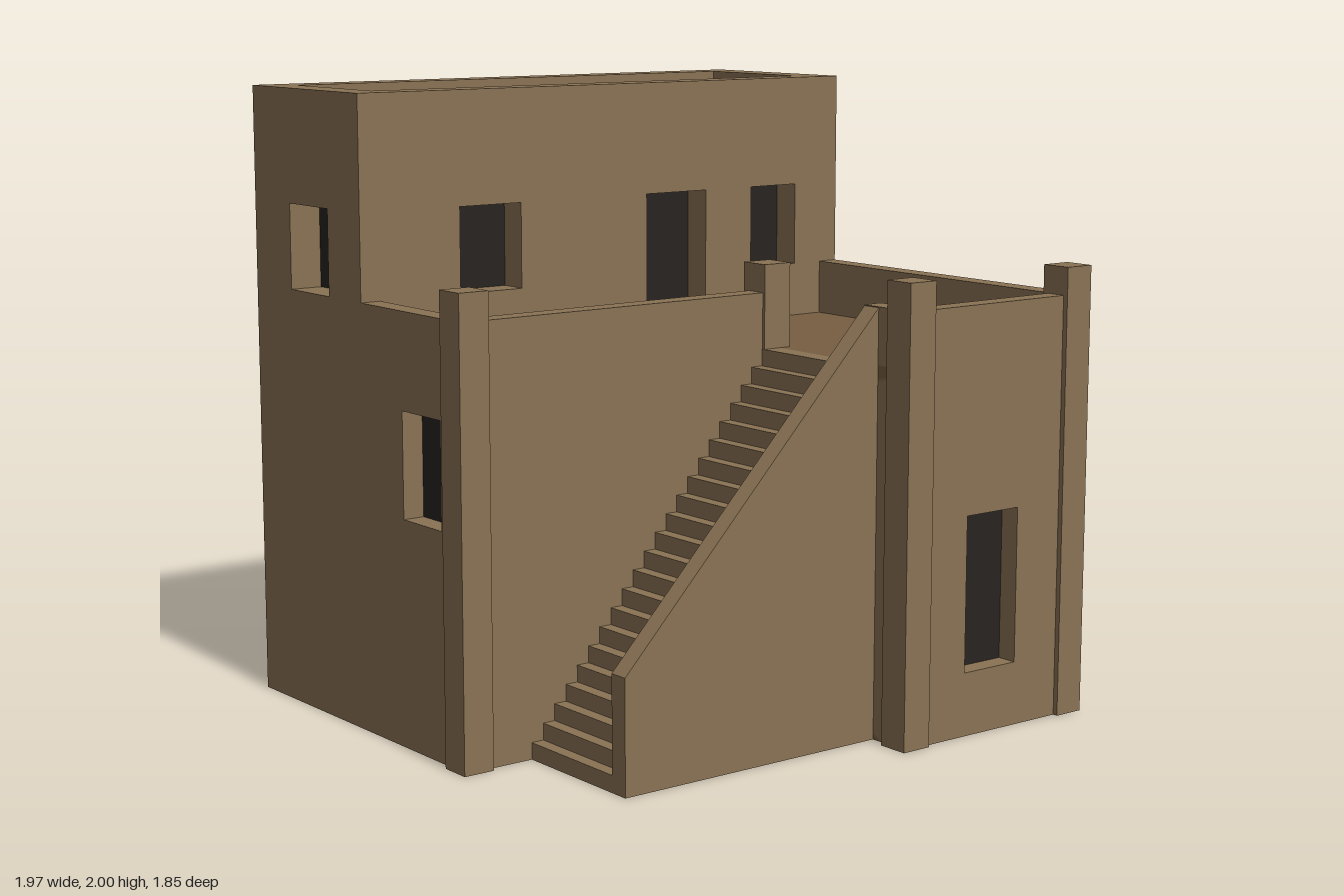
import * as THREE from 'three';

const clay = new THREE.MeshStandardMaterial({ color: 0x8a7354 });
const floorClay = new THREE.MeshStandardMaterial({ color: 0x775e42 });
const dark = new THREE.MeshStandardMaterial({ color: 0x282420 });

export function createModel() {
  const model = new THREE.Group();

  function add(name, geometry, material) {
    const mesh = new THREE.Mesh(geometry, material);
    mesh.name = name;
    model.add(mesh);
    return mesh;
  }

  // Box given by its limits on each axis
  function block(name, x0, x1, y0, y1, z0, z1, material = clay) {
    const mesh = add(name, new THREE.BoxGeometry(x1 - x0, y1 - y0, z1 - z0), material);
    mesh.position.set((x0 + x1) / 2, (y0 + y1) / 2, (z0 + z1) / 2);
  }

  const polygon = (points) => new THREE.Shape(points.map(([x, y]) => new THREE.Vector2(x, y)));
  const rectangle = (u0, u1, y0, y1) => [[u0, y0], [u1, y0], [u1, y1], [u0, y1]];

  // Outline in x and y, extruded from z0 to z1
  function prism(name, shape, z0, z1) {
    const geometry = new THREE.ExtrudeGeometry(shape, { depth: z1 - z0, bevelEnabled: false });
    add(name, geometry, clay).position.z = z0;
  }

  // Wall facing front, with openings [x0, x1, y0, y1] backed by dark panes
  function frontWall(name, x0, x1, y0, y1, z0, z1, openings) {
    const shape = polygon(rectangle(x0, x1, y0, y1));
    for (const o of openings) {
      shape.holes.push(polygon(rectangle(...o).reverse()));
      block(name + 'Pane', o[0] - 0.01, o[1] + 0.01, o[2] - 0.01, o[3] + 0.01, z0 - 0.02, z0, dark);
    }
    prism(name, shape, z0, z1);
  }

  // Wall facing sideways, with one opening [z0, z1, y0, y1] and a dark pane inside
  function sideWall(name, side, thickness, z0, z1, y1, o) {
    const shape = polygon(rectangle(-z1, -z0, 0, y1));
    shape.holes.push(polygon(rectangle(-o[1], -o[0], o[2], o[3]).reverse()));
    const geometry = new THREE.ExtrudeGeometry(shape, { depth: thickness, bevelEnabled: false });
    geometry.rotateY(Math.PI / 2);
    add(name, geometry, clay).position.x = side > 0 ? 0.963 - thickness : -0.963;
    const inner = side * (0.963 - thickness), behind = inner - side * 0.02;
    block(name + 'Pane', Math.min(inner, behind), Math.max(inner, behind),
      o[2] - 0.01, o[3] + 0.01, o[0] - 0.01, o[1] + 0.01, dark);
  }

  // Upper storey and back wall
  block('backWall', -0.963, 0.963, 0, 2, -0.926, -0.826);
  frontWall('upperFrontWall', -0.963, 0.963, 1.08, 2, -0.374, -0.278, [
    [-0.598, -0.365, 1.36, 1.635],
    [0.137, 0.386, 1.18, 1.635],
    [0.582, 0.778, 1.36, 1.635],
  ]);
  block('upperRoof', -0.86, 0.86, 1.74, 1.8, -0.84, -0.36, floorClay);

  // Side walls with one window on each storey
  for (const side of [-1, 1]) {
    sideWall('upperSideWall', side, 0.108, -0.926, -0.278, 2, [-0.704, -0.47, 1.36, 1.635]);
    sideWall('lowerSideWall', side, 0.071, -0.278, side > 0 ? 0.9 : 0.28, 1.36,
      [-0.05, 0.16, 0.72, 1.055]);
  }

  // Lower storey fronts and parapets
  block('recessedFrontWall', -0.963, 0.24, 0, 1.36, 0.21, 0.28);
  frontWall('entranceWall', 0.237, 0.963, 0, 1.36, 0.837, 0.905, [[0.481, 0.698, 0.205, 0.705]]);
  block('wingSideWall', 0.237, 0.305, 0, 1.17, 0.25, 0.7);
  block('wingSideParapet', 0.237, 0.305, 0, 1.36, 0.69, 0.85);

  // Terrace floor and ground slabs
  for (const [name, y0, y1] of [['terraceFloor', 1.1, 1.18], ['groundSlab', 0, 0.04]]) {
    block(name, -0.93, 0.93, y0, y1, -0.9, 0.25, floorClay);
    block(name + 'Wing', 0.237, 0.93, y0, y1, 0.25, 0.86, floorClay);
  }

  // Corner posts
  for (const [x, z] of [[-0.932, 0.25], [0.226, 0.238], [0.266, 0.87], [0.932, 0.87]]) {
    block('cornerPost', x - 0.052, x + 0.052, 0, 1.45, z - 0.052, z + 0.052);
  }

  // Stairs up to the terrace
  const steps = 22, start = -0.726, run = (0.215 - start) / steps, rise = 1.18 / steps;
  const profile = [[start, 0]];
  for (let i = 0; i < steps; i++) {
    profile.push([start + i * run, (i + 1) * rise], [start + (i + 1) * run, (i + 1) * rise]);
  }
  profile.push([0.24, 1.18], [0.24, 0]);
  prism('stairs', polygon(profile.reverse()), 0.28, 0.69);

  // Sloping wall beside the stairs
  prism('stairWall', polygon([[start, 0], [0.24, 0], [0.24, 1.36], [start, 0.36]]), 0.69, 0.755);

  return model;
}
